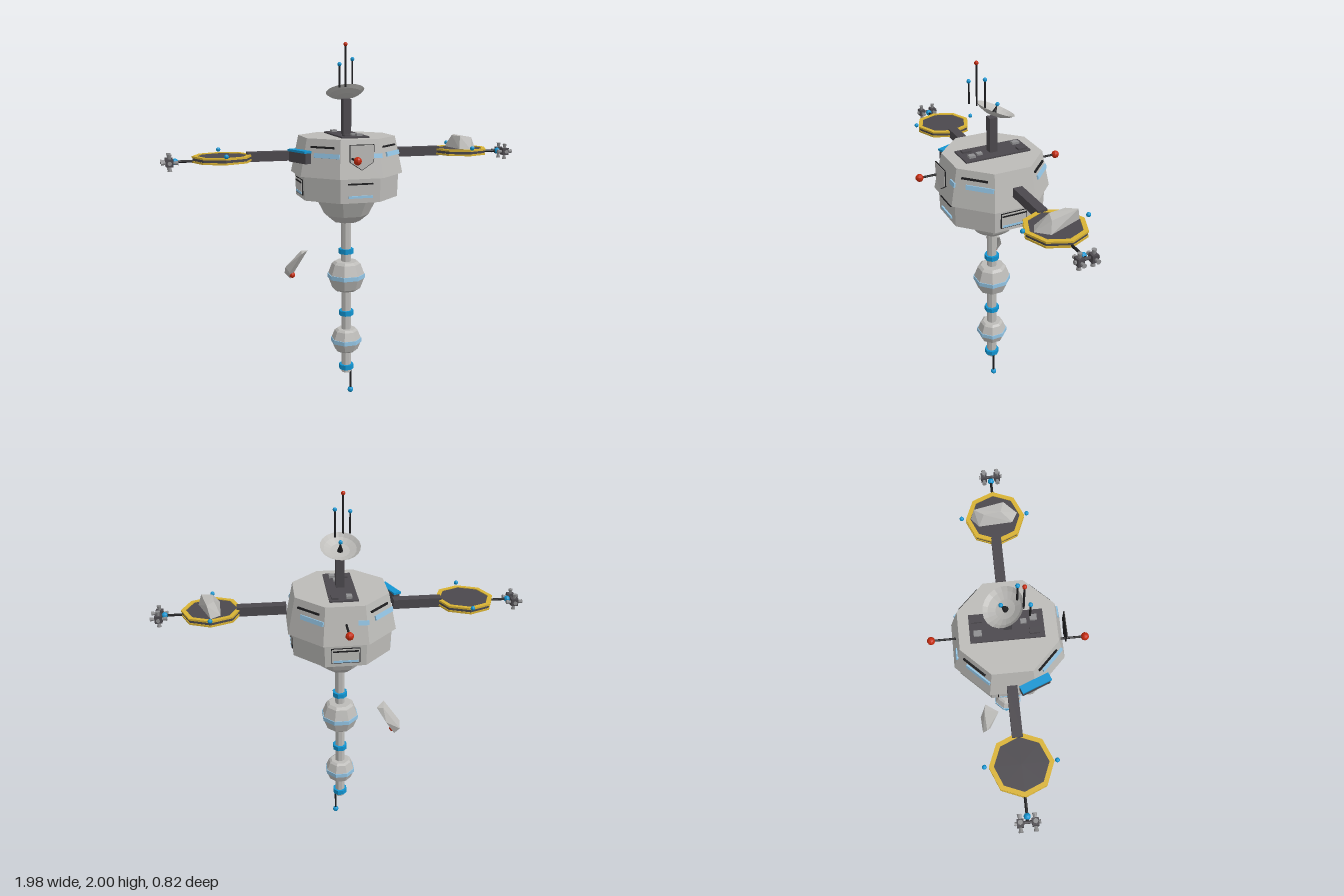
import * as THREE from 'three';
import { ConvexGeometry } from 'three/addons/geometries/ConvexGeometry.js';

const mat = (name, color, side = THREE.FrontSide) => {
  const m = new THREE.MeshStandardMaterial({ color, flatShading: true, side });
  m.name = name;
  return m;
};
const hull = mat('hull grey', 0xbcbbb8, THREE.DoubleSide);
const dark = mat('dark grey', 0x4b484d);
const steel = mat('nozzle grey', 0x8e8e90);
const black = mat('black', 0x1e1e20);
const yellow = mat('yellow', 0xd8b234);
const blue = mat('blue', 0x1295d2);
const glass = mat('pale blue', 0x94c6e6);
const red = mat('red', 0xc42a0e);

export function createModel() {
  const root = new THREE.Group();
  root.name = 'spaceStation';

  const add = (parent, name, geo, material, x = 0, y = 0, z = 0) => {
    const m = new THREE.Mesh(geo, material);
    m.name = name;
    m.position.set(x, y, z);
    parent.add(m);
    return m;
  };
  const box = (p, name, material, w, h, d, x, y, z) => add(p, name, new THREE.BoxGeometry(w, h, d), material, x, y, z);
  const ball = (p, name, material, r, x, y, z) => add(p, name, new THREE.SphereGeometry(r, 10, 8), material, x, y, z);
  const group = (p, name) => {
    const g = new THREE.Group();
    g.name = name;
    p.add(g);
    return g;
  };
  // Eight-sided turned body; profile is [apothem, y] from bottom to top, flats face the axes
  const octagon = (p, name, material, profile) => add(p, name, new THREE.LatheGeometry(
    profile.map(([a, y]) => new THREE.Vector2(a / Math.cos(Math.PI / 8), y)), 8, Math.PI / 8), material);
  // Round rod between two points
  const rod = (p, name, material, r, from, to) => {
    const a = new THREE.Vector3(...from), b = new THREE.Vector3(...to);
    const m = add(p, name, new THREE.CylinderGeometry(r, r, a.distanceTo(b), 8), material);
    m.position.copy(a).add(b).multiplyScalar(0.5);
    m.quaternion.setFromUnitVectors(new THREE.Vector3(0, 1, 0), b.sub(a).normalize());
  };
  const shard = (p, name, pts) => add(p, name, new ConvexGeometry(pts.map(v => new THREE.Vector3(...v))), hull);

  // Main body
  octagon(root, 'upperHull', hull, [[0, 1.31], [0.285, 1.31], [0.245, 1.51], [0, 1.51]]);
  octagon(root, 'lowerHull', hull, [[0, 1.18], [0.26, 1.18], [0.264, 1.31], [0, 1.31]]);
  octagon(root, 'hullCone', hull, [[0, 1.03], [0.07, 1.035], [0.115, 1.075], [0.165, 1.18], [0, 1.18]]);

  // Hull faces: slots and windows on the upper diagonals, hatches on the lower straight faces
  for (let i = 0; i < 8; i++) {
    const face = group(root, 'hullFace');
    face.rotation.y = i * Math.PI / 4;
    const panel = group(face, 'panel');
    if (i % 2) {
      panel.position.set(0, 1.44, 0.259);
      panel.rotation.x = -0.197;
      box(panel, 'ventSlot', black, 0.14, 0.01, 0.009, 0, 0.027, 0.004);
      box(panel, 'windowStrip', glass, 0.15, 0.024, 0.009, 0.03, -0.016, 0.004);
    } else {
      panel.position.set(0, 1.245, 0.262);
      if (i > 0) {
        box(panel, 'hatchFrame', black, 0.15, 0.085, 0.006, 0, 0, 0.002);
        box(panel, 'hatchPlate', hull, 0.142, 0.077, 0.008, 0, 0, 0.003);
      }
      box(panel, 'hatchSlot', black, 0.135, 0.008, 0.009, 0, 0.036 - Math.sign(i) * 0.01, 0.005);
      box(panel, 'windowStrip', glass, 0.13, 0.012, 0.009, 0, -0.032, 0.004);
      if (i % 4 === 0) {
        const side = box(face, 'sideWindow', glass, 0.055, 0.024, 0.009, 0.09, 1.425, 0.264);
        side.rotation.x = -0.197;
      }
    }
  }

  // Shield-shaped plate in front, with a dark rim
  const shield = k => new THREE.Shape([[-0.065, 0.065], [0.065, 0.065], [0.065, -0.025], [0, -0.068], [-0.065, -0.025]]
    .map(([x, y]) => new THREE.Vector2(x * k, y * k)));
  const plate = (name, material, k, z) => add(root, name,
    new THREE.ExtrudeGeometry(shield(k), { depth: 0.005, bevelEnabled: false }), material, -0.002, 1.423, z);
  plate('shieldRim', black, 1, 0.288);
  plate('shieldPlate', hull, 0.95, 0.2905);

  // Front and back beacons
  for (const [x, s] of [[-0.055, 1], [-0.003, -1]]) {
    rod(root, 'beaconRod', black, 0.006, [x, 1.417, s * 0.25], [x, 1.417, s * 0.38]);
    ball(root, 'beacon', red, 0.021, x, 1.417, s * 0.388);
  }

  // Roof deck with equipment
  box(root, 'roofDeck', dark, 0.15, 0.01, 0.37, 0, 1.513, -0.005);
  for (const [m, w, h, d, x, z] of [[steel, 0.03, 0.012, 0.04, -0.03, -0.15], [dark, 0.035, 0.01, 0.05, 0.045, -0.15],
    [steel, 0.025, 0.01, 0.03, 0.015, 0.08], [dark, 0.03, 0.01, 0.05, -0.04, 0.13], [steel, 0.03, 0.012, 0.035, 0.03, 0.13]])
    box(root, 'roofEquipment', m, w, h, d, x, 1.518 + h / 2, z);
  box(root, 'mast', dark, 0.045, 0.196, 0.042, 0, 1.608, 0);

  // Dish tilted to the back, with its feed
  const dish = group(root, 'dish');
  dish.position.set(0, 1.73, -0.015);
  dish.rotation.x = -0.4;
  add(dish, 'dishBowl', new THREE.LatheGeometry(
    [[0, -0.018], [0.05, -0.012], [0.085, 0.002], [0.105, 0.018]].map(v => new THREE.Vector2(...v)), 20), hull);
  add(dish, 'feedCone', new THREE.ConeGeometry(0.016, 0.055, 8), black, 0, 0.012, 0);
  ball(dish, 'feedTip', blue, 0.011, 0, 0.042, 0);

  // Whip antennas
  for (const [x, z, top, m] of [[-0.065, 0.097, 1.888, blue], [-0.025, 0.072, 1.99, red], [0.02, 0.047, 1.915, blue]]) {
    rod(root, 'antenna', black, 0.005, [x, 1.77, z], [x, top, z]);
    ball(root, 'antennaTip', m, 0.011, x, top, z);
  }

  // Side arms with landing pads and thruster clusters
  for (const s of [-1, 1]) {
    const arm = group(root, s > 0 ? 'leftArm' : 'rightArm');
    box(arm, 'armBeam', dark, 0.26, 0.05, 0.052, s * 0.415, 1.41, -0.006);

    // Eight-sided pad: dark slab between two yellow rims
    const pad = group(arm, 'landingPad');
    pad.position.set(s * 0.675, 1.407, 0);
    add(pad, 'padDeck', new THREE.CylinderGeometry(0.153, 0.153, 0.026, 8), dark);
    for (const [y, inner] of [[-0.012, 0.143], [0.012, 0.133]])
      add(pad, 'padRim', new THREE.LatheGeometry([[inner, y - 0.005], [0.157, y - 0.005], [0.157, y + 0.005], [inner, y + 0.005],
        [inner, y - 0.005]].map(v => new THREE.Vector2(...v)), 8), yellow);
    for (const z of [-0.178, 0.17]) ball(arm, 'padLight', blue, 0.012, s * 0.675, 1.435, z);

    rod(arm, 'boom', black, 0.007, [s * 0.82, 1.398, 0], [s * 0.94, 1.398, 0]);
    ball(arm, 'boomTip', blue, 0.017, s * 0.918, 1.398, 0);
    rod(arm, 'thrusterBar', dark, 0.008, [s * 0.945, 1.398, -0.04], [s * 0.945, 1.398, 0.04]);
    for (const z of [-0.036, 0.036]) {
      const cluster = group(arm, 'thrusterCluster');
      cluster.position.set(s * 0.947, 1.396, z);
      box(cluster, 'thrusterCore', dark, 0.038, 0.038, 0.032, 0, 0, 0);
      for (let i = 0; i < 4; i++) {
        const pivot = group(cluster, 'nozzlePivot');
        pivot.rotation.z = i * Math.PI / 2;
        add(pivot, 'nozzle', new THREE.CylinderGeometry(0.012, 0.007, 0.024, 8), steel, 0, 0.031, 0);
      }
      const n = add(cluster, 'nozzle', new THREE.CylinderGeometry(0.011, 0.007, 0.012, 8), steel, 0, 0, Math.sign(z) * 0.02);
      n.rotation.x = Math.sign(z) * Math.PI / 2;
    }
  }

  // Loose blue-topped panel beside the right arm
  const loose = group(root, 'loosePanel');
  loose.position.set(-0.288, 1.42, 0.11);
  loose.rotation.y = 0.37;
  box(loose, 'looseBase', dark, 0.036, 0.06, 0.154, 0.003, -0.006, 0);
  box(loose, 'looseTop', blue, 0.042, 0.012, 0.16, 0, 0.025, 0);

  // Broken hull pieces: one resting on the left pad, one drifting
  shard(root, 'padShard', [[0.625, 1.424, -0.09], [0.635, 1.424, 0.09], [0.69, 1.424, 0.12], [0.745, 1.424, 0.06], [0.675, 1.424, -0.13],
    [0.655, 1.49, -0.06], [0.665, 1.49, 0.03], [0.725, 1.485, 0.05], [0.69, 1.49, -0.11]]);
  shard(root, 'driftingShard', [[-0.19, 0.84, -0.145], [-0.24, 0.84, -0.075], [-0.225, 0.84, -0.155], [-0.32, 0.75, -0.15],
    [-0.32, 0.71, -0.175], [-0.29, 0.675, -0.165], [-0.3, 0.72, -0.13], [-0.24, 0.76, -0.18]]);
  ball(root, 'shardBeacon', red, 0.017, -0.28, 0.7, -0.15);

  // Lower spine with pods and collars
  octagon(root, 'spine', hull, [[0, 0.136], [0.026, 0.136], [0.026, 1.04]]);
  for (const y of [0.861, 0.497, 0.169])
    octagon(root, 'collar', blue, [[0.02, y - 0.014], [0.039, y - 0.014], [0.039, y + 0.014], [0.02, y + 0.014]]);
  for (const [y, r, h] of [[0.718, 0.096, 0.084], [0.333, 0.079, 0.067]]) {
    octagon(root, 'pod', hull, [[0.02, y - h], [r * 0.62, y - h], [r * 0.78, y - h * 0.85], [r, y - 0.01],
      [r, y + 0.01], [r * 0.78, y + h * 0.85], [r * 0.62, y + h], [0.02, y + h]]);
    octagon(root, 'podBand', glass, [[r - 0.01, y - 0.012], [r + 0.003, y - 0.012], [r + 0.003, y + 0.012], [r - 0.01, y + 0.012]]);
  }
  rod(root, 'tailRod', black, 0.006, [0.026, 0.17, 0], [0.026, 0.02, 0]);
  ball(root, 'tailLight', blue, 0.017, 0.026, 0.017, 0);

  return root;
}
